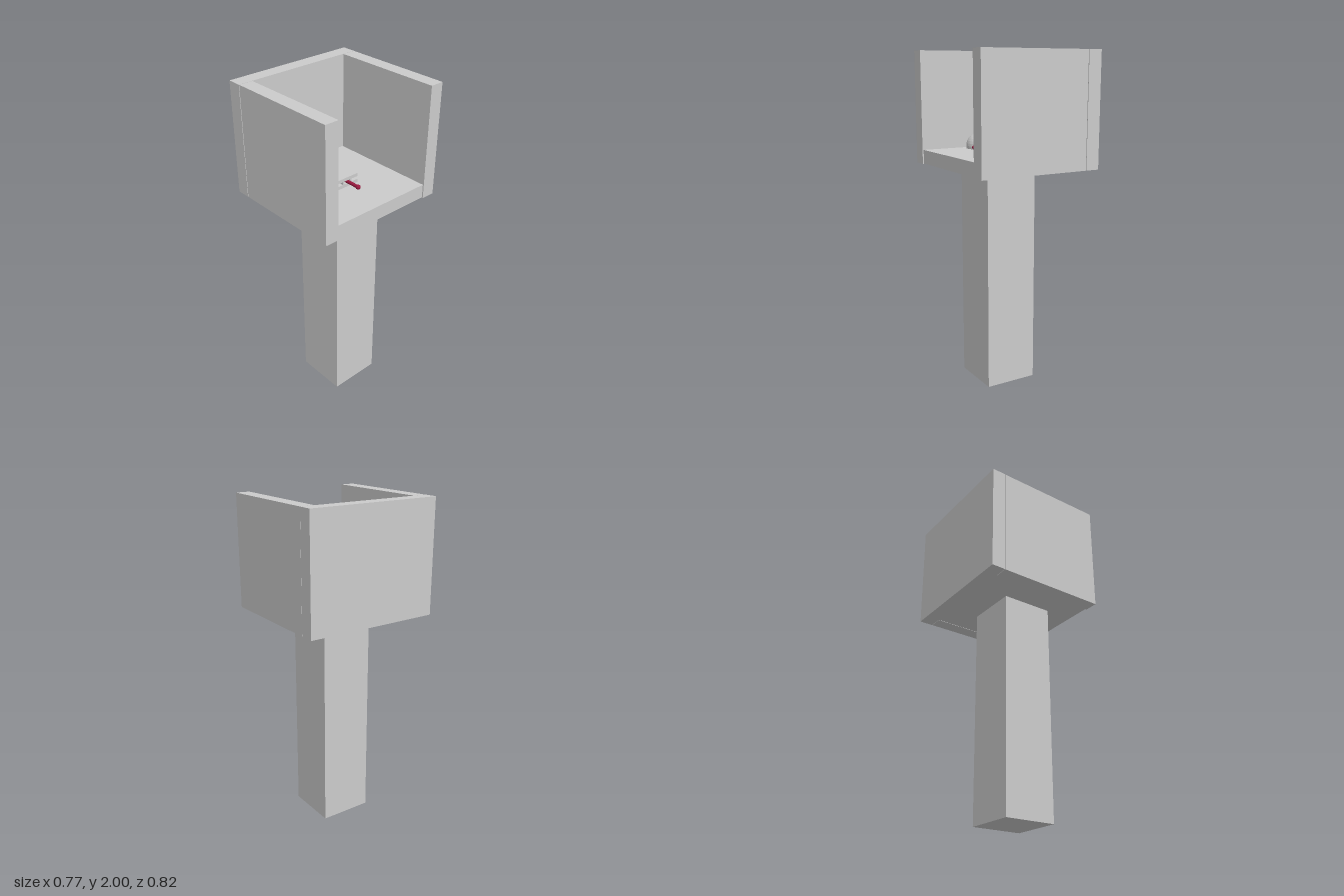
import * as THREE from 'three';

export function createModel() {
  const model = new THREE.Group();
  const grey = new THREE.MeshStandardMaterial({ color: 0xcccccc, flatShading: true });
  const red = new THREE.MeshStandardMaterial({ color: 0x9b1b40 });

  const add = (name, geometry, material = grey) => {
    const mesh = new THREE.Mesh(geometry, material);
    mesh.name = name;
    model.add(mesh);
    return mesh;
  };
  // Box given by its limits on each axis
  const box = (name, [x0, x1], [y0, y1], [z0, z1]) =>
    add(name, new THREE.BoxGeometry(x1 - x0, y1 - y0, z1 - z0))
      .position.set((x0 + x1) / 2, (y0 + y1) / 2, (z0 + z1) / 2);

  // Post and three-walled tray
  box('post', [-0.12, 0.2], [0, 1.33], [-0.15, 0.17]);
  box('floor', [-0.3, 0.377], [1.327, 1.41], [-0.327, 0.327]);
  box('endWall', [-0.385, -0.3], [1.325, 2], [-0.412, 0.412]);
  box('rightSideWall', [-0.297, 0.384], [1.325, 2], [-0.411, -0.327]);
  box('leftSideWall', [-0.297, 0.384], [1.325, 2], [0.327, 0.411]);

  // Slotted block: notched section with a rounded slot, run along x
  const w = 0.08, h = 0.029, notch = 0.032, n = 0.009;
  const section = new THREE.Shape([
    [-w, -h], [w, -h], [w, -n], [notch, -n], [notch, n], [w, n],
    [w, h], [-w, h], [-w, n], [-notch, n], [-notch, -n], [-w, -n],
  ].map(([a, b]) => new THREE.Vector2(a, b)));
  const slot = new THREE.Path();
  slot.absarc(0.015, 0, 0.009, -Math.PI / 2, Math.PI / 2);
  slot.absarc(-0.015, 0, 0.009, Math.PI / 2, Math.PI * 1.5);
  section.holes.push(slot);
  const block = add('slottedBlock',
    new THREE.ExtrudeGeometry(section, { depth: 0.162, bevelEnabled: false, curveSegments: 6 }));
  block.rotation.y = Math.PI / 2;
  block.position.set(-0.05, 1.446, 0.014);

  // Rod through the block, grey behind and red in front with a ball tip
  const rod = (name, x0, x1, material) => {
    const mesh = add(name, new THREE.CylinderGeometry(0.01, 0.01, x1 - x0, 16), material);
    mesh.rotation.z = Math.PI / 2;
    mesh.position.set((x0 + x1) / 2, 1.446, 0.01);
  };
  rod('rearRod', -0.305, -0.04, grey);
  rod('frontRod', -0.04, 0.196, red);
  add('rodTip', new THREE.SphereGeometry(0.014, 24, 16), red).position.set(0.196, 1.446, 0.01);

  // Ball sunk into the floor
  add('ball', new THREE.SphereGeometry(0.083, 32, 16), grey).position.set(0.037, 1.427, 0.236);

  return model;
}
